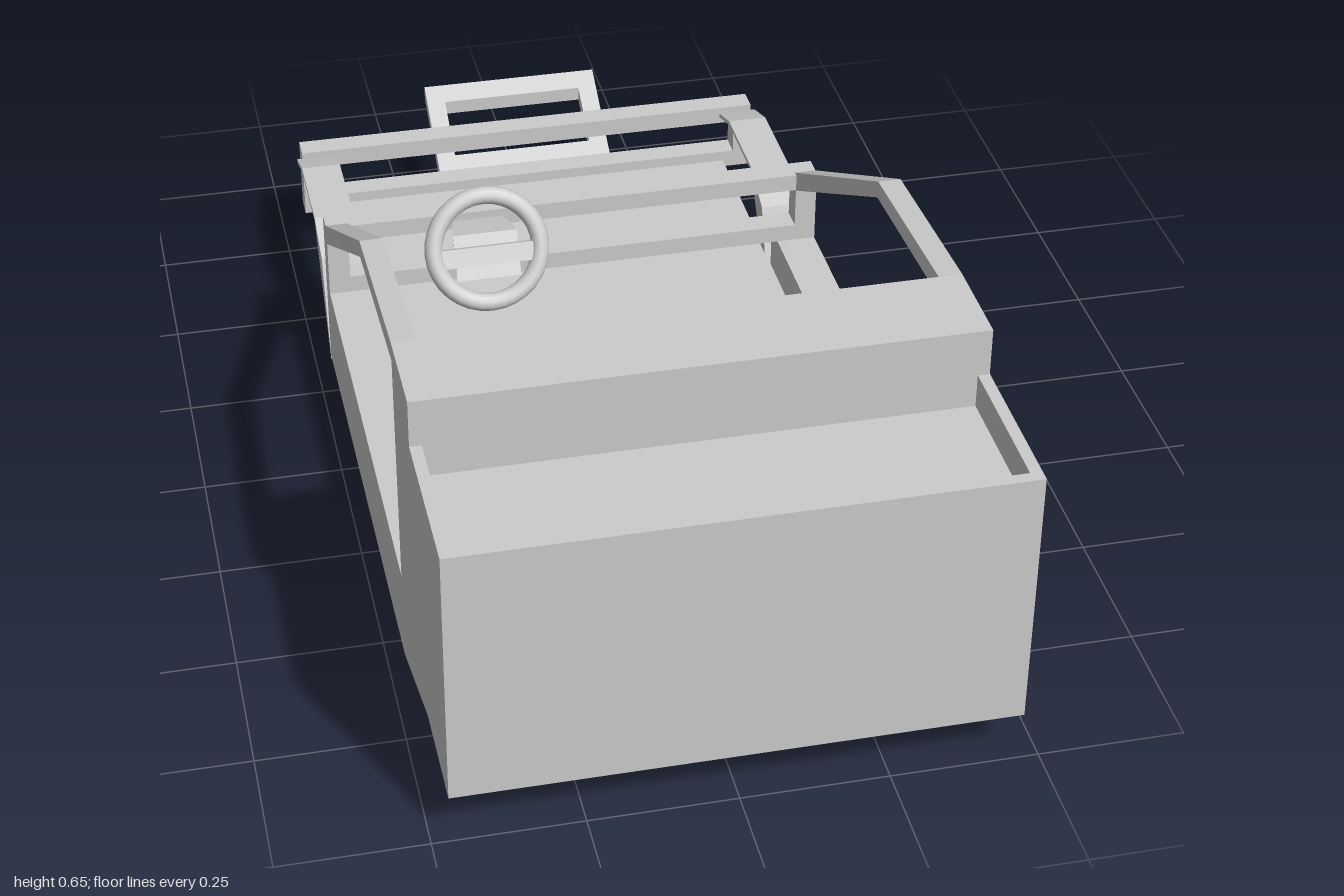
import * as THREE from 'three';

const mat = new THREE.MeshStandardMaterial({ color: 0xcccccc, flatShading: true });
const smooth = new THREE.MeshStandardMaterial({ color: 0xcccccc });

export function createModel() {
  const car = new THREE.Group();
  car.name = 'openBuggyBody';

  const add = (name, geo, material = mat) => {
    const mesh = new THREE.Mesh(geo, material);
    mesh.name = name;
    car.add(mesh);
    return mesh;
  };
  const box = (name, x0, x1, y0, y1, z0, z1) => add(name,
    new THREE.BoxGeometry(x1 - x0, y1 - y0, z1 - z0)
      .translate((x0 + x1) / 2, (y0 + y1) / 2, (z0 + z1) / 2));
  // Side outline of [z, y] points, extruded across x0..x1
  const profile = (name, pts, x0, x1) => {
    const shape = new THREE.Shape(pts.map(p => new THREE.Vector2(...p)));
    const geo = new THREE.ExtrudeGeometry(shape, { depth: x1 - x0, bevelEnabled: false });
    return add(name, geo.rotateY(-Math.PI / 2).translate(x1, 0, 0));
  };
  // Rectangular ring in the XY plane, extruded along z
  const ring = (x0, x1, y0, y1, bx, by, depth) => {
    const rect = (a, b, c, d) => [[a, c], [b, c], [b, d], [a, d]].map(p => new THREE.Vector2(...p));
    const shape = new THREE.Shape(rect(x0, x1, y0, y1));
    shape.holes.push(new THREE.Path(rect(x0 + bx, x1 - bx, y0 + by, y1 - by).reverse()));
    return new THREE.ExtrudeGeometry(shape, { depth, bevelEnabled: false });
  };

  // Rear body with a shallow tray on top
  profile('rearBody', [[0.55, 0.01], [0.8, 0.09], [1, 0.09], [1, 0.505],
    [0.715, 0.505], [0.715, 0.65], [0.55, 0.65]], -0.47, 0.47);
  box('trayEndRim', -0.47, 0.47, 0.505, 0.565, 0.98, 1);

  // Floor running forward into the nose platform
  box('floor', -0.398, 0.398, 0.01, 0.1, -0.75, 0.55);

  for (const s of [-1, 1]) {
    const side = s > 0 ? 'left' : 'right';
    const span = (a, b) => (s > 0 ? [a, b] : [-b, -a]);
    box(side + 'TrayRim', ...span(0.45, 0.47), 0.505, 0.565, 0.715, 0.98);
    box(side + 'Sill', ...span(0.397, 0.47), 0.01, 0.18, -0.355, 0.55);
    // Roof rail bending down into the windscreen pillar
    profile(side + 'RoofRail', [[0.55, 0.65], [0.2, 0.62], [-0.32, 0.325], [-0.32, 0.285],
      [0.2, 0.588], [0.55, 0.615]], ...span(0.43, 0.47));
    // Thin front fender strip
    profile(side + 'Fender', [[-0.355, 0], [-0.424, 0.187], [-0.51, 0.225], [-0.695, 0.225],
      [-0.78, 0.195], [-0.78, 0.187], [-0.693, 0.217], [-0.512, 0.217], [-0.418, 0.18],
      [-0.355, 0.025]].reverse(), ...span(0.395, 0.47));
  }

  // Open dashboard frame and front bumper frame
  add('dashFrame', ring(-0.47, 0.47, 0.18, 0.325, 0.04, 0.033, 0.045).translate(0, 0, -0.355));
  add('bumperFrame', ring(-0.46, 0.46, 0.07, 0.21, 0.035, 0.035, 0.045).translate(0, 0, -0.82));

  // Nose loop, sheared upwards toward its tip
  const loop = ring(-0.177, 0.177, 0.82, 1, 0.037, 0.035, 0.028).rotateX(-Math.PI / 2);
  const lp = loop.attributes.position;
  for (let i = 0; i < lp.count; i++) {
    lp.setY(i, lp.getY(i) + 0.07 + (-lp.getZ(i) - 0.82) * 0.57);
  }
  loop.computeVertexNormals();
  add('noseLoop', loop);

  // Steering column: a block stretched from the dashboard to the wheel
  const column = new THREE.BoxGeometry(1, 1, 1);
  const cp = column.attributes.position;
  for (let i = 0; i < cp.count; i++) {
    const top = cp.getY(i) > 0;
    const wheelEnd = cp.getZ(i) > 0;
    const half = wheelEnd ? 0.06 : 0.04;
    const [z, y] = wheelEnd ? (top ? [-0.235, 0.325] : [-0.195, 0.25])
      : (top ? [-0.355, 0.3] : [-0.355, 0.21]);
    cp.setXYZ(i, -0.185 + Math.sign(cp.getX(i)) * half, y, z);
  }
  column.computeVertexNormals();
  add('steeringColumn', column);

  // Steering wheel with its crossbar
  const wheel = new THREE.Group();
  wheel.name = 'steeringWheel';
  const rim = new THREE.Mesh(new THREE.TorusGeometry(0.1, 0.017, 12, 32), smooth);
  rim.name = 'wheelRim';
  const bar = new THREE.Mesh(new THREE.BoxGeometry(0.19, 0.035, 0.018).translate(0, -0.012, 0), mat);
  bar.name = 'wheelCrossbar';
  wheel.add(rim, bar);
  wheel.position.set(-0.185, 0.303, -0.215);
  wheel.rotation.x = -0.44;
  car.add(wheel);

  return car;
}
